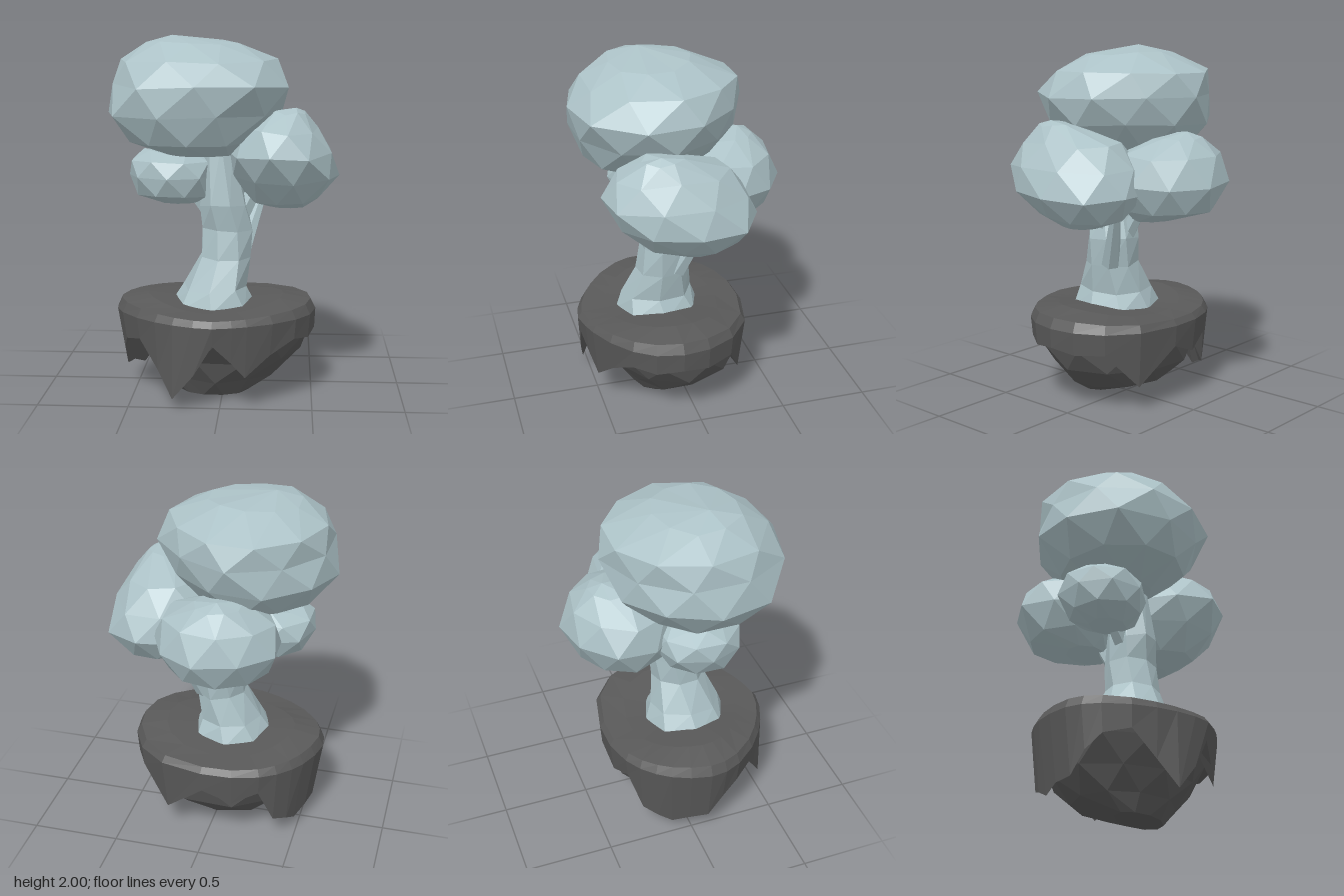
import * as THREE from 'three';

const foliage = new THREE.MeshStandardMaterial({ color: 0xacc2c7 });
foliage.name = 'pale blue grey';
const stone = new THREE.MeshStandardMaterial({ color: 0x595959 });
stone.name = 'dark grey';

// Seeded random in -1..1
function seeded(seed) {
  let s = seed;
  return () => {
    s = (s * 16807) % 2147483647;
    return (s / 2147483647) * 2 - 1;
  };
}

// Pushes the diagonal corners of an ellipse out or in, more towards one direction
const corner = (a, square, skew, dir) =>
  1 + Math.abs(Math.sin(2 * a)) * (square + skew * Math.cos(a - THREE.MathUtils.degToRad(dir)));

// Faceted closed skin over loops of points, listed from bottom to top
function skin(name, loops, material, top, bottom) {
  const pos = [];
  const tri = (a, b, c) => pos.push(...a, ...b, ...c);
  const n = loops[0].length;
  for (let i = 0; i < n; i++) {
    const j = (i + 1) % n;
    for (let r = 0; r < loops.length - 1; r++) {
      const p = loops[r], q = loops[r + 1];
      tri(p[i], q[i], p[j]);
      tri(p[j], q[i], q[j]);
    }
    if (bottom) tri(bottom, loops[0][i], loops[0][j]);
    tri(top, loops.at(-1)[j], loops.at(-1)[i]);
  }
  const geo = new THREE.BufferGeometry();
  geo.setAttribute('position', new THREE.Float32BufferAttribute(pos, 3));
  geo.computeVertexNormals();
  const mesh = new THREE.Mesh(geo, material);
  mesh.name = name;
  return mesh;
}

// Lumpy form from rings [y, xMin, xMax, zMin, zMax]; twist staggers the facets
function lump(name, rings, material, options) {
  const { sides = 9, seed, rough = 0.03, twist = 0.5, square = 0, skew = 0, dir = 0, top } = options;
  const rnd = seeded(seed * 7919);
  const loops = rings.map(([y, x0, x1, z0, z1], r) => {
    const loop = [];
    for (let i = 0; i < sides; i++) {
      const a = ((i + r * twist) / sides) * Math.PI * 2;
      const k = (1.025 + rnd() * rough) * corner(a, square, skew, dir);
      const dy = r === 0 ? 0 : rnd() * rough * 0.4;
      loop.push([
        (x0 + x1) / 2 + Math.cos(a) * k * (x1 - x0) / 2,
        y + dy,
        (z0 + z1) / 2 + Math.sin(a) * k * (z1 - z0) / 2,
      ]);
    }
    return loop;
  });
  const middle = ([y, x0, x1, z0, z1]) => [(x0 + x1) / 2, y, (z0 + z1) / 2];
  return skin(name, loops, material, top || middle(rings.at(-1)), middle(rings[0]));
}

// Tapered branch between two points
function branch(name, from, to, r0, r1) {
  const a = new THREE.Vector3(...from), b = new THREE.Vector3(...to);
  const d = b.clone().sub(a);
  const geo = new THREE.CylinderGeometry(r1, r0, d.length(), 6).toNonIndexed();
  geo.computeVertexNormals();
  const mesh = new THREE.Mesh(geo, foliage);
  mesh.name = name;
  mesh.position.copy(a).add(b).multiplyScalar(0.5);
  mesh.quaternion.setFromUnitVectors(new THREE.Vector3(0, 1, 0), d.normalize());
  return mesh;
}

export function createModel() {
  const model = new THREE.Group();
  model.name = 'floatingTree';

  // Underside of the floating rock
  model.add(lump('rockBody', [
    [0.0, -0.23, 0.13, 0.07, 0.28],
    [0.09, -0.35, 0.28, -0.19, 0.34],
    [0.22, -0.44, 0.42, -0.31, 0.42],
    [0.36, -0.5, 0.48, -0.345, 0.5],
    [0.45, -0.5, 0.44, -0.31, 0.5],
  ], stone, { sides: 10, seed: 5, rough: 0.02, square: -0.015, skew: 0.065, dir: 290 }));

  // Jagged crust hanging from the rim: [angle in degrees, lower edge height, reach]
  const edge = [
    [0, 0.36, 0.99], [18, 0.34, 0.98], [34, 0.36, 0.98], [52, 0.29, 0.95], [69, 0.18, 0.94],
    [78, 0.27, 0.95], [89, 0.37, 0.97], [100, 0.2, 0.98], [113, 0.06, 1.01], [126, 0.2, 0.96],
    [142, 0.35, 0.97], [160, 0.32, 0.96], [172, 0.24, 0.93], [183, 0.12, 0.91], [197, 0.11, 0.91],
    [210, 0.07, 0.9], [220, 0.11, 0.93], [231, 0.14, 0.94], [242, 0.35, 0.97], [258, 0.28, 0.96],
    [276, 0.35, 0.98], [301, 0.15, 0.93], [322, 0.35, 0.98], [342, 0.34, 0.98],
  ];
  // A ring of the crust at a scale and height, with raised shoulders at left and right
  const around = (scale, height, raise = 0) => edge.map(([deg, low, reach]) => {
    const a = THREE.MathUtils.degToRad(deg);
    const k = (scale ?? reach) * corner(a, -0.015, 0.065, 290);
    const y = (height ?? low) + raise * Math.cos(2 * a);
    return [-0.045 + Math.cos(a) * 0.565 * k, y, 0.105 + Math.sin(a) * 0.49 * k];
  });
  model.add(skin('rockCrust', [
    around(0.74, 0.42), around(), around(1, 0.47), around(0.95, 0.515, 0.012), around(0.68, 0.53, 0.022),
  ], stone, [-0.05, 0.515, 0.1]));

  // Trunk with flared foot
  model.add(lump('trunk', [
    [0.49, -0.29, 0.18, -0.12, 0.35],
    [0.6, -0.22, 0.13, -0.08, 0.32],
    [0.77, -0.13, 0.15, -0.05, 0.24],
    [0.92, -0.12, 0.16, -0.06, 0.22],
    [1.06, -0.13, 0.13, -0.04, 0.24],
    [1.4, -0.11, 0.06, 0.0, 0.2],
  ], foliage, { sides: 8, seed: 3, twist: 0.15, square: 0.05 }));

  // Branches into each crown
  model.add(branch('sideBranch', [0.07, 0.95, 0.08], [0.2, 1.2, 0.08], 0.06, 0.04));
  model.add(branch('thinBranch', [0.1, 0.78, 0.03], [0.23, 1.15, -0.13], 0.055, 0.025));
  model.add(branch('backBranch', [0.01, 0.92, 0.0], [0.0, 1.16, -0.14], 0.05, 0.035));
  model.add(branch('smallBranch', [-0.05, 1.0, 0.1], [-0.22, 1.2, 0.08], 0.06, 0.04));

  // Crowns
  model.add(lump('mainCrown', [
    [1.345, -0.3, 0.06, -0.05, 0.27],
    [1.42, -0.5, 0.15, -0.23, 0.48],
    [1.58, -0.64, 0.31, -0.37, 0.55],
    [1.73, -0.61, 0.36, -0.38, 0.58],
    [1.86, -0.56, 0.28, -0.38, 0.48],
    [1.96, -0.42, 0.09, -0.12, 0.34],
  ], foliage, { sides: 10, seed: 11, skew: 0.075, dir: 100, top: [-0.28, 2, 0.15] }));
  model.add(lump('sideCrown', [
    [1.04, 0.25, 0.46, -0.1, 0.1],
    [1.09, 0.14, 0.53, -0.22, 0.27],
    [1.22, 0.04, 0.63, -0.32, 0.4],
    [1.36, 0.03, 0.6, -0.28, 0.48],
    [1.49, 0.12, 0.52, -0.17, 0.42],
    [1.585, 0.27, 0.45, 0.07, 0.29],
  ], foliage, { seed: 23, square: 0.045, skew: 0.025, dir: 300, top: [0.4, 1.61, 0.2] }));
  model.add(lump('backCrown', [
    [1.05, -0.18, 0.1, -0.29, -0.07],
    [1.12, -0.33, 0.21, -0.52, -0.02],
    [1.27, -0.41, 0.29, -0.595, 0.04],
    [1.42, -0.36, 0.23, -0.54, 0.0],
    [1.52, -0.2, 0.06, -0.45, -0.18],
  ], foliage, { seed: 31, square: -0.01, skew: 0.03, dir: 90, top: [-0.08, 1.55, -0.37] }));
  model.add(lump('smallCrown', [
    [1.075, -0.36, -0.14, 0.0, 0.2],
    [1.12, -0.48, -0.08, -0.1, 0.3],
    [1.22, -0.53, -0.06, -0.15, 0.34],
    [1.31, -0.52, -0.07, -0.13, 0.31],
    [1.36, -0.44, -0.16, -0.04, 0.22],
  ], foliage, { sides: 8, seed: 41 }));

  return model;
}
